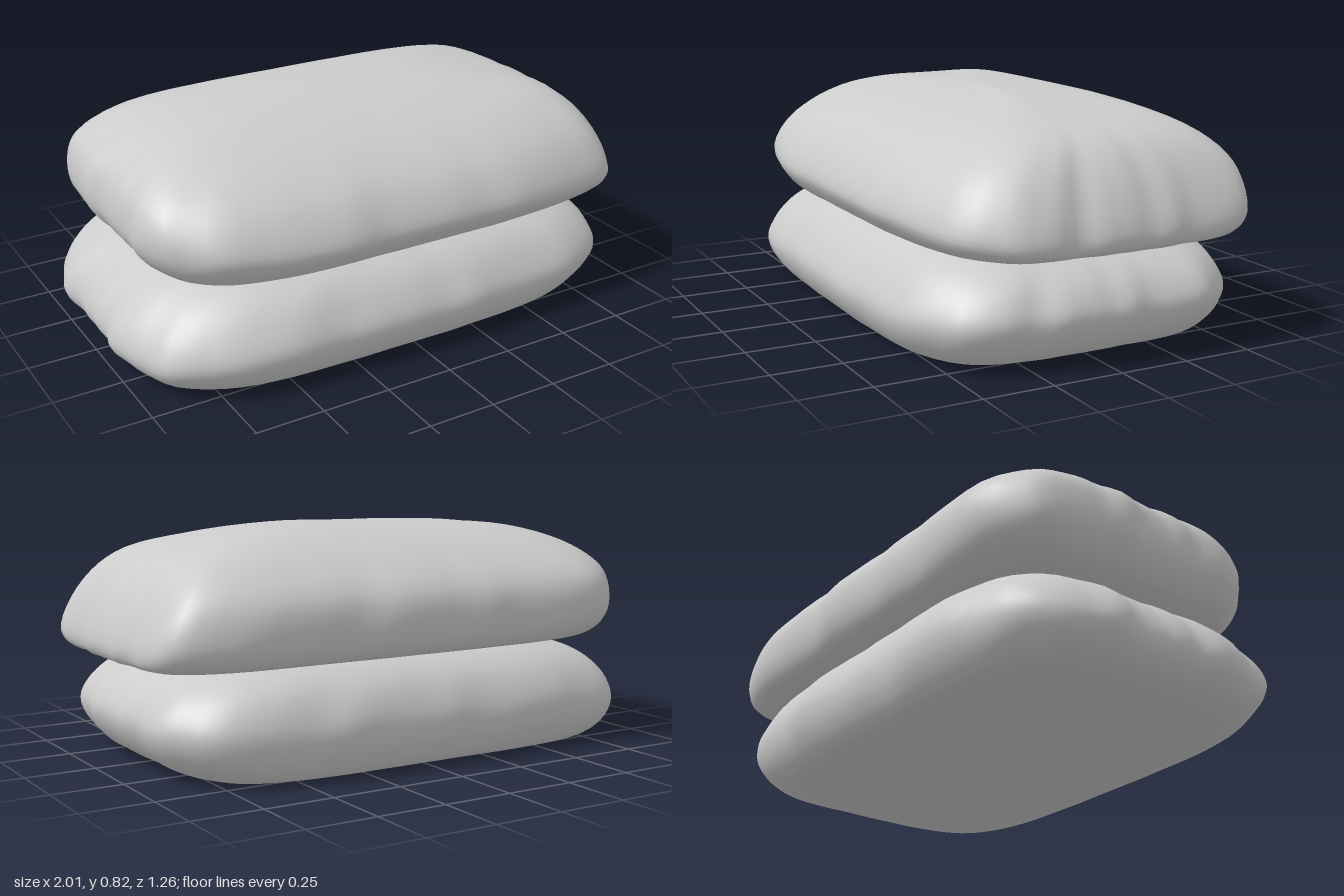
import * as THREE from 'three';

const SEGMENTS = 112;
const RINGS = 44;

// A filled sack: four side profiles (distance from centre, height), blended around a rounded rectangle.
function makeSack(name, { base, top, left, right, front, back, frontSquareness, backSquareness, phase }) {
  const curve = (points) => new THREE.CatmullRomCurve3(
    [[0, base], ...points, [0, top]].map(([d, y]) => new THREE.Vector3(d, y, 0)));
  const [cl, cr, cf, cb] = [left, right, front, back].map(curve);
  const positions = [];
  const indices = [];

  for (let i = 0; i <= RINGS; i++) {
    const t = i / RINGS;
    const [l, r, f, b] = [cl, cr, cf, cb].map((c) => c.getPoint(t));
    // Folds are strongest along the rim and fade towards the middle of the cloth
    const rim = Math.sin(Math.PI * t) ** 4;
    for (let j = 0; j < SEGMENTS; j++) {
      const a = (j / SEGMENTS) * Math.PI * 2;
      const c = Math.cos(a);
      const s = Math.sin(a);
      const n = THREE.MathUtils.lerp(frontSquareness, backSquareness, (1 - s) / 2);
      const radius = (Math.abs(c) ** n + Math.abs(s) ** n) ** (-1 / n);
      const fold = 0.008 * Math.sin(9 * a + phase) + 0.006 * Math.sin(17 * a + 2 * phase + 5 * t)
        + 0.004 * Math.sin(29 * a - phase);
      const k = radius * (1 + rim * (fold - 0.006));
      const xSide = c > 0 ? r : l;
      const zSide = s > 0 ? f : b;
      const w = c ** 4 / (c ** 4 + s ** 4);
      const y = xSide.y * w + zSide.y * (1 - w);
      positions.push(c * k * Math.max(xSide.x, 0), Math.max(y, base), s * k * Math.max(zSide.x, 0));
    }
  }
  for (let i = 0; i < RINGS; i++) {
    for (let j = 0; j < SEGMENTS; j++) {
      const j2 = (j + 1) % SEGMENTS;
      const p = i * SEGMENTS + j;
      const q = i * SEGMENTS + j2;
      if (i > 0) indices.push(p, p + SEGMENTS, q);
      if (i < RINGS - 1) indices.push(q, p + SEGMENTS, q + SEGMENTS);
    }
  }
  const geometry = new THREE.BufferGeometry();
  geometry.setAttribute('position', new THREE.Float32BufferAttribute(positions, 3));
  geometry.setIndex(indices);
  geometry.computeVertexNormals();
  // The poles are collapsed rings, so give them plain vertical normals
  for (let j = 0; j < SEGMENTS; j++) {
    geometry.attributes.normal.setXYZ(j, 0, -1, 0);
    geometry.attributes.normal.setXYZ(RINGS * SEGMENTS + j, 0, 1, 0);
  }
  const mesh = new THREE.Mesh(geometry, new THREE.MeshStandardMaterial({ color: 0xcccccc }));
  mesh.name = name;
  return mesh;
}

export function createModel() {
  const group = new THREE.Group();
  group.name = 'stackedSacks';

  // Lower sack, pressed flat above and below
  group.add(makeSack('lowerSack', {
    base: 0, top: 0.385, frontSquareness: 4, backSquareness: 5, phase: 0.7,
    left: [[0.5, 0], [0.88, 0], [0.97, 0.05], [1, 0.11], [0.97, 0.2], [0.85, 0.31], [0.65, 0.375], [0.35, 0.385]],
    right: [[0.4, 0], [0.76, 0], [0.88, 0.06], [0.94, 0.17], [0.91, 0.25], [0.83, 0.32], [0.7, 0.37], [0.35, 0.385]],
    front: [[0.3, 0], [0.52, 0], [0.59, 0.06], [0.625, 0.15], [0.59, 0.24], [0.52, 0.32], [0.4, 0.375], [0.2, 0.385]],
    back: [[0.3, 0], [0.53, 0], [0.6, 0.08], [0.62, 0.17], [0.6, 0.25], [0.55, 0.32], [0.45, 0.375], [0.2, 0.385]],
  }));

  // Upper sack, domed and fuller towards the back
  group.add(makeSack('upperSack', {
    base: 0.38, top: 0.82, frontSquareness: 4, backSquareness: 6.5, phase: 2.3,
    left: [[0.45, 0.38], [0.83, 0.38], [0.92, 0.47], [0.93, 0.56], [0.9, 0.65], [0.8, 0.73], [0.6, 0.79], [0.25, 0.815]],
    right: [[0.5, 0.38], [0.9, 0.38], [0.98, 0.39], [1, 0.44], [0.94, 0.6], [0.83, 0.72], [0.6, 0.785], [0.3, 0.82]],
    front: [[0.3, 0.38], [0.52, 0.38], [0.57, 0.42], [0.6, 0.48], [0.53, 0.62], [0.37, 0.73], [0.2, 0.785], [0.08, 0.81]],
    back: [[0.3, 0.38], [0.5, 0.38], [0.58, 0.4], [0.62, 0.48], [0.61, 0.6], [0.5, 0.71], [0.3, 0.805], [0.1, 0.82]],
  }));
  return group;
}
